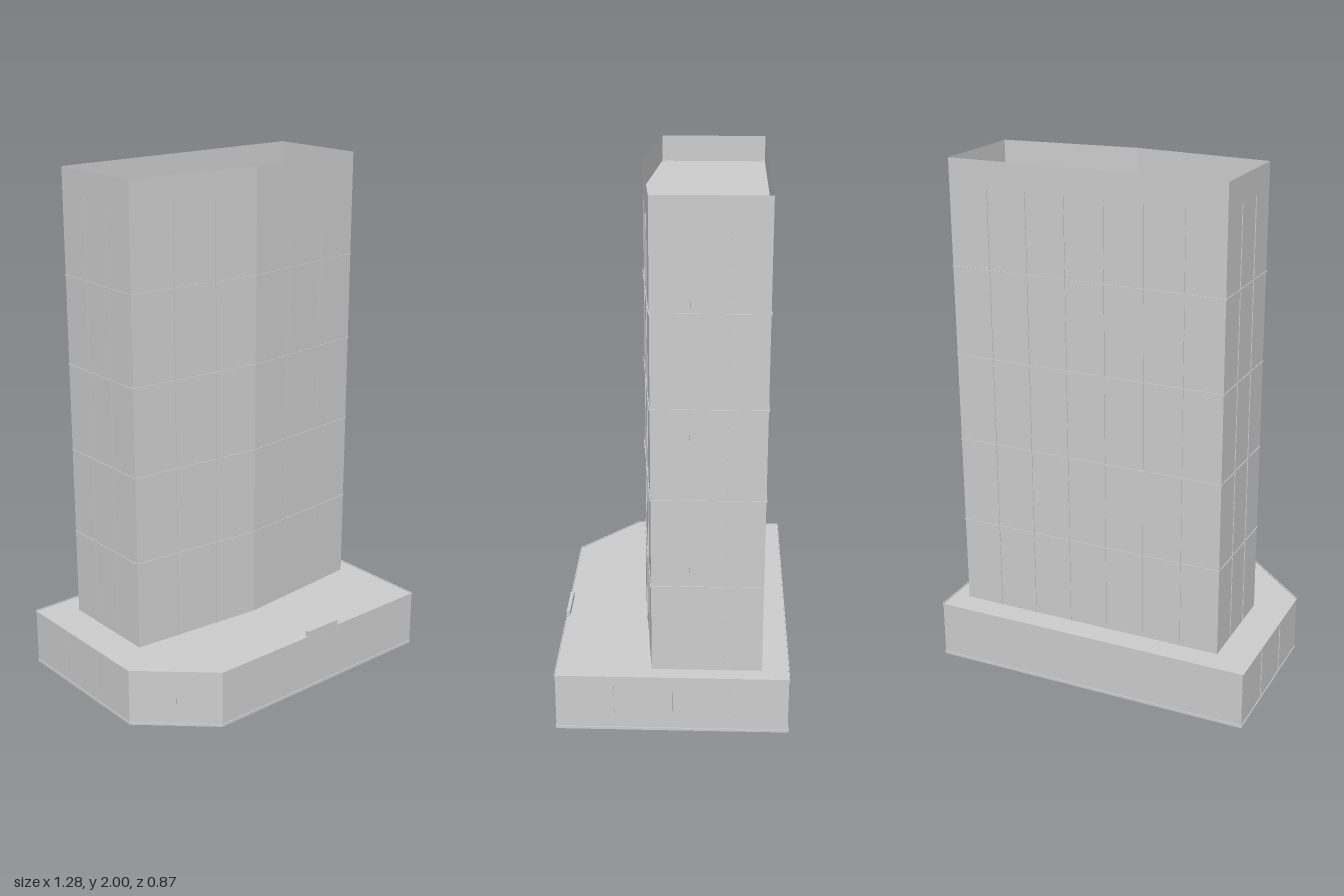
import * as THREE from 'three';

// Plan outlines as [x, z], starting at the front and running towards +x, then around the back
const PODIUM = [[-0.38, 0.43], [0.637, 0.43], [0.637, -0.431], [-0.637, -0.431], [-0.637, 0.195]];
const TOWER = [[-0.498, 0.076], [0.038, 0.125], [0.575, 0.076], [0.575, -0.332], [-0.498, -0.332]];
const DEPTH = 0.003; // how far trims stand off the walls

export function createModel() {
  const model = new THREE.Group();
  const concrete = new THREE.MeshStandardMaterial({ color: 0xcccccc, side: THREE.DoubleSide });
  concrete.name = 'light grey concrete';

  const add = (parent, name, geometry) => {
    const mesh = new THREE.Mesh(geometry, concrete);
    mesh.name = name;
    parent.add(mesh);
    return mesh;
  };
  const group = (name) => {
    const g = new THREE.Group();
    g.name = name;
    model.add(g);
    return g;
  };
  const edges = (outline) => outline.map((a, i) => [a, outline[(i + 1) % outline.length]]);

  // Thin upright walls following an outline
  function walls(outline, y0, y1) {
    const p = [];
    for (const [[ax, az], [bx, bz]] of edges(outline)) {
      p.push(ax, y0, az, bx, y0, bz, bx, y1, bz, ax, y0, az, bx, y1, bz, ax, y1, az);
    }
    const geometry = new THREE.BufferGeometry();
    geometry.setAttribute('position', new THREE.Float32BufferAttribute(p, 3));
    geometry.computeVertexNormals();
    return geometry;
  }

  // Flat slab filling an outline
  function slab(outline, y) {
    const shape = new THREE.Shape(outline.map(([x, z]) => new THREE.Vector2(x, -z)));
    return new THREE.ShapeGeometry(shape).rotateX(-Math.PI / 2).translate(0, y, 0);
  }

  // Box standing off the wall a-b at fraction t along it
  function trim(parent, name, [a, b], t, width, y0, y1) {
    const dx = b[0] - a[0], dz = b[1] - a[1], len = Math.hypot(dx, dz);
    const mesh = add(parent, name, new THREE.BoxGeometry(width ?? len, y1 - y0, DEPTH));
    mesh.position.set(
      a[0] + dx * t - (dz / len) * DEPTH / 2,
      (y0 + y1) / 2,
      a[1] + dz * t + (dx / len) * DEPTH / 2
    );
    mesh.rotation.y = Math.atan2(-dz, dx);
  }

  // Vertical mullions dividing each wall into equal bays
  function mullions(parent, outline, bays, y0, y1) {
    edges(outline).forEach((edge, i) => {
      for (let k = 1; k < bays[i]; k++) trim(parent, 'mullion', edge, k / bays[i], 0.004, y0, y1);
    });
  }

  // Horizontal band around an outline
  function band(parent, name, outline, y, height) {
    for (const edge of edges(outline)) trim(parent, name, edge, 0.5, undefined, y - height / 2, y + height / 2);
  }

  // Podium: hollow, open underneath
  const podium = group('podium');
  add(podium, 'podiumWalls', walls(PODIUM, 0, 0.228));
  add(podium, 'podiumRoof', slab(PODIUM, 0.224));
  mullions(podium, PODIUM, [5, 4, 1, 3, 2], 0.01, 0.218);
  band(podium, 'baseBand', PODIUM, 0.005, 0.01);
  band(podium, 'topBand', PODIUM, 0.223, 0.01);

  // Entrance panel at the front edge
  const entrance = group('entrance');
  add(entrance, 'entrancePanel', new THREE.BoxGeometry(0.157, 0.032, 0.014)).position.set(0.128, 0.232, 0.425);
  add(entrance, 'entrancePost', new THREE.BoxGeometry(0.004, 0.04, 0.004)).position.set(0.128, 0.196, 0.432);

  // Tower with a sunken roof behind the parapet
  const tower = group('tower');
  add(tower, 'towerWalls', walls(TOWER, 0.224, 2));
  add(tower, 'towerRoof', slab(TOWER, 1.9));
  mullions(tower, TOWER, [3, 3, 3, 7, 3], 0.224, 1.9);
  for (let i = 0; i < 4; i++) band(tower, 'floorBand', TOWER, 0.57 + i * 0.343, 0.006);

  // Column heads at the roof corners
  for (const x of [-0.49, 0.567]) {
    for (const z of [-0.324, 0.068]) {
      add(tower, 'columnHead', new THREE.BoxGeometry(0.013, 0.006, 0.013)).position.set(x, 1.902, z);
    }
  }
  return model;
}
